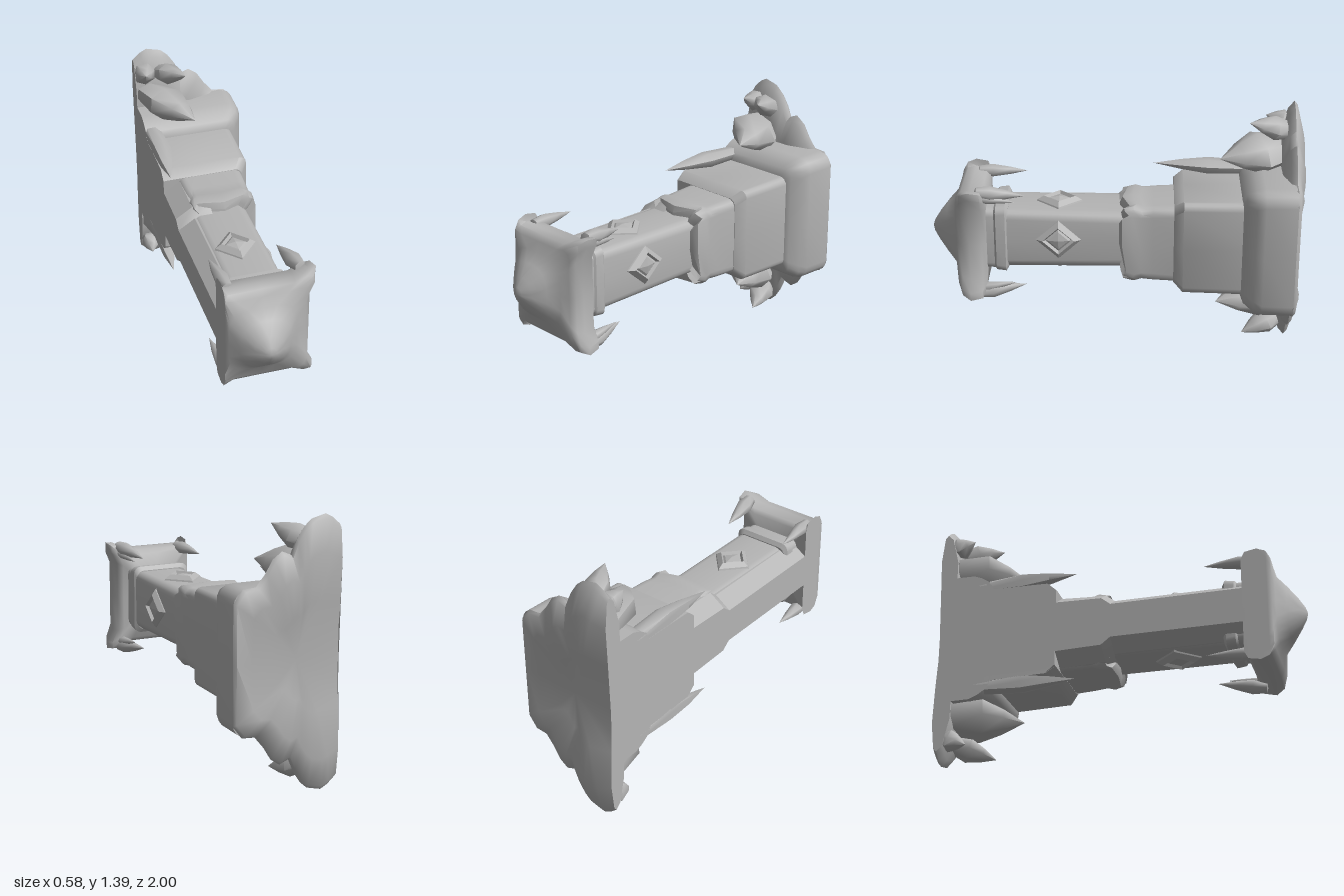
import * as THREE from 'three';
import { toCreasedNormals } from 'three/addons/utils/BufferGeometryUtils.js';

const WALL = -0.29; // flat side where everything is cut off
const AXIS = 0.695; // height of the tower's axis

// Rounded rectangle around (cx, 0), cut at the wall; ear pushes the corners out
function ring(z, cx, a, h, r, ear = 0, jag = 0) {
  const pts = [];
  const corners = [[1, -1], [1, 1], [-1, 1], [-1, -1]];
  corners.forEach(([sx, sy], c) => {
    for (let i = 0; i <= 4; i++) {
      const t = (c - 1 + i / 4) * Math.PI / 2;
      const e = ear * Math.sin(i / 4 * Math.PI);
      const x = cx + sx * (a - r) + Math.cos(t) * r + sx * e;
      const y = sy * (h - r) + Math.sin(t) * r + sy * e;
      pts.push([Math.max(WALL, x), y, z + jag * Math.sin(i * 2.4 + c * 1.7)]);
    }
    // extra point in the middle of each side
    if (c === 0) pts.push([cx + a, 0, z + jag]);
    if (c === 1) pts.push([cx, h, z + jag]);
    if (c === 2) pts.push([Math.max(WALL, cx - a), 0, z]);
    if (c === 3) pts.push([cx, -h, z + jag]);
  });
  return pts;
}

// Skin over rings ordered from back to front, closed with fans
function loft(rings, crease = 0.6, backTip, frontTip) {
  const pos = [];
  const tri = (a, b, c) => pos.push(...a, ...b, ...c);
  const mean = (r) => [0, 1, 2].map((k) => r.reduce((s, p) => s + p[k], 0) / r.length);
  const n = rings[0].length;
  const last = rings[rings.length - 1];
  const back = backTip || mean(rings[0]);
  const front = frontTip || mean(last);
  for (let j = 0; j < n; j++) {
    const k = (j + 1) % n;
    for (let i = 0; i < rings.length - 1; i++) {
      const p = rings[i], q = rings[i + 1];
      tri(p[j], p[k], q[k]);
      tri(p[j], q[k], q[j]);
    }
    tri(rings[0][k], rings[0][j], back);
    tri(last[j], last[k], front);
  }
  const g = new THREE.BufferGeometry();
  g.setAttribute('position', new THREE.Float32BufferAttribute(pos, 3));
  return toCreasedNormals(g, crease);
}

// Leaf-shaped spike from root to tip, w wide in x and h in the other direction
function spike(root, tip, w, h, belly) {
  const a = new THREE.Vector3(...root), dir = new THREE.Vector3(...tip).sub(a);
  const len = dir.length();
  const profile = [[0, 0], [0.7, 0.02], [1, belly], [0.58, belly + (1 - belly) * 0.5], [0, 1]]
    .map(([r, t]) => new THREE.Vector2(r, t * len));
  const g = new THREE.LatheGeometry(profile, 7);
  g.scale(w, 1, h);
  g.applyQuaternion(new THREE.Quaternion().setFromUnitVectors(new THREE.Vector3(0, 1, 0), dir.normalize()));
  g.translate(...root);
  const p = g.attributes.position;
  for (let i = 0; i < p.count; i++) p.setX(i, Math.max(WALL, p.getX(i)));
  return toCreasedNormals(g, 1.1);
}

export function createModel() {
  const stone = new THREE.MeshStandardMaterial({ color: 0xb4b4b4 });
  stone.name = 'grey stone';
  const model = new THREE.Group();
  model.name = 'tower';
  const body = new THREE.Group();
  body.name = 'towerBody';
  body.position.y = AXIS;
  model.add(body);
  const add = (name, geometry) => {
    const m = new THREE.Mesh(geometry, stone);
    m.name = name;
    body.add(m);
    return m;
  };

  // Ragged back plate: two lobes bulge backwards above and below a shallow dip
  const upper = [[0.29, 0.3], [0.24, 0.365], [0.17, 0.37], [0.12, 0.43], [0.08, 0.495], [0.03, 0.53],
    [-0.02, 0.51], [-0.05, 0.58], [-0.09, 0.64], [-0.13, 0.675], [-0.21, 0.695], [-0.25, 0.675],
    [WALL, 0.64], [WALL, 0.36]];
  const lower = upper.map(([x, y]) => [x, -y]).reverse();
  const outline = [[0.29, 0], ...upper, [WALL, 0], ...lower];
  const plate = (z, s, bulge = 0) => outline.map(([x, y]) => {
    const lobe = THREE.MathUtils.smoothstep(Math.abs(y * s), 0.12, 0.36);
    const px = x === WALL ? x : -0.1 + (x + 0.1) * s;
    return [px, y * s, z - bulge * lobe * (x === WALL ? 0.5 : 1)];
  });
  add('backPlate', loft([plate(-0.955, 0.4, 0.04), plate(-0.955, 0.75, 0.045), plate(-0.962, 0.97),
    plate(-0.945, 1), plate(-0.915, 0.95), plate(-0.88, 0.72)], 1, [-0.05, 0, -0.955]));

  // Base block with a slanted, rounded front lip
  add('baseBlock', loft([
    ring(-0.945, -0.08, 0.37, 0.365, 0.08), ring(-0.78, -0.08, 0.365, 0.363, 0.08),
    ring(-0.735, -0.08, 0.345, 0.345, 0.08, 0.008), ring(-0.685, -0.08, 0.305, 0.31, 0.07, 0.01),
    ring(-0.665, -0.08, 0.275, 0.268, 0.05)], 0.9));

  // Middle block
  add('middleBlock', loft([
    ring(-0.74, -0.08, 0.285, 0.27, 0.045), ring(-0.36, -0.08, 0.275, 0.262, 0.04),
    ring(-0.31, -0.08, 0.235, 0.22, 0.04)], 0.7));

  // Sleeve with an uneven front edge
  add('sleeve', loft([
    ring(-0.34, -0.03, 0.185, 0.22, 0.05), ring(-0.2, -0.03, 0.175, 0.213, 0.05, 0.004),
    ring(-0.14, -0.03, 0.175, 0.21, 0.05, 0, 0.01), ring(-0.1, -0.03, 0.182, 0.222, 0.055, 0, 0.01),
    ring(-0.055, -0.03, 0.178, 0.21, 0.055, 0, 0.02),
    ring(-0.04, -0.03, 0.15, 0.175, 0.055, 0, 0.02)], 0.7));

  // Shaft
  add('shaft', loft([
    ring(-0.1, -0.06, 0.16, 0.16, 0.055), ring(0.3, -0.06, 0.155, 0.163, 0.05),
    ring(0.6, -0.06, 0.15, 0.165, 0.045)], 0.6));

  // Bevelled backing that carries the shaft and sleeve over to the wall side
  const bevel = (z, h) => [[-0.1, -h], [-0.1, h], [-0.2, h], [WALL, h - 0.06], [WALL, 0.06 - h], [-0.2, -h]]
    .map(([x, y]) => [x, y, z]);
  add('wallBacking', loft([bevel(-0.4, 0.205), bevel(-0.06, 0.195), bevel(-0.01, 0.155), bevel(0.7, 0.155)], 0.5));

  // Stepped collar under the cap
  add('collar', loft([
    ring(0.575, -0.07, 0.155, 0.17, 0.04), ring(0.59, -0.07, 0.168, 0.192, 0.04),
    ring(0.64, -0.07, 0.168, 0.185, 0.04), ring(0.65, -0.07, 0.16, 0.175, 0.04),
    ring(0.7, -0.07, 0.16, 0.175, 0.04), ring(0.74, -0.08, 0.2, 0.23, 0.04)], 0.5));

  // Cap with eared corners, a flat rim and a rounded point
  add('cap', loft([
    ring(0.69, -0.1, 0.22, 0.245, 0.06, 0.03), ring(0.71, -0.1, 0.25, 0.268, 0.07, 0.055),
    ring(0.775, -0.1, 0.255, 0.275, 0.07, 0.06), ring(0.82, -0.1, 0.25, 0.27, 0.08, 0.045),
    ring(0.845, -0.1, 0.225, 0.24, 0.09, 0.025), ring(0.86, -0.1, 0.175, 0.185, 0.1),
    ring(0.91, -0.1, 0.13, 0.14, 0.1), ring(0.96, -0.1, 0.075, 0.08, 0.07),
    ring(0.99, -0.1, 0.03, 0.033, 0.03)],
  1.1, undefined, [-0.1, 0, 1]));

  // Diamond studs: raised frame around a low pyramid
  const studProfile = [[0.13, -0.01], [0.12, 0.008], [0.085, 0.03], [0.07, 0.012], [0.055, 0.02], [0, 0.03]]
    .map(([r, y]) => new THREE.Vector2(r, y));
  const studGeometry = toCreasedNormals(new THREE.LatheGeometry(studProfile, 4).scale(0.9, 1, 1), 0.3);
  [['top', -0.07, 0.163, 0], ['side', 0.092, 0.01, -Math.PI / 2], ['bottom', -0.07, -0.163, Math.PI]]
    .forEach(([name, x, y, rot]) => {
      const stud = add(name + 'Diamond', studGeometry);
      stud.position.set(x, y, 0.305);
      stud.rotation.z = rot;
    });

  // Spikes and claws, mirrored above and below the axis
  const spikes = [
    ['flatSpike', [-0.25, 0.29, -0.8], [-0.275, 0.305, -0.2], 0.07, 0.045, 0.5],
    ['largeSpike', [-0.21, 0.43, -0.92], [-0.04, 0.425, -0.55], 0.14, 0.095, 0.42],
    ['upperSpike', [-0.15, 0.55, -0.92], [-0.05, 0.625, -0.7], 0.075, 0.06, 0.4],
    ['edgeSpike', [-0.24, 0.56, -0.92], [-0.25, 0.6, -0.8], 0.07, 0.06, 0.3],
    ['rightClaw', [0.13, 0.295, 0.74], [0.09, 0.26, 0.48], 0.045, 0.04, 0.3],
    ['rightBarb', [0.13, 0.265, 0.74], [0.12, 0.235, 0.53], 0.03, 0.025, 0.3],
    ['leftClaw', [-0.25, 0.265, 0.76], [-0.27, 0.255, 0.49], 0.04, 0.035, 0.3],
  ];
  for (const [name, root, tip, w, h, belly] of spikes) {
    for (const s of [1, -1]) {
      const flip = ([x, y, z]) => [x, s * y, z];
      add((s > 0 ? 'upper ' : 'lower ') + name, spike(flip(root), flip(tip), w, h, belly));
    }
  }
  return model;
}
